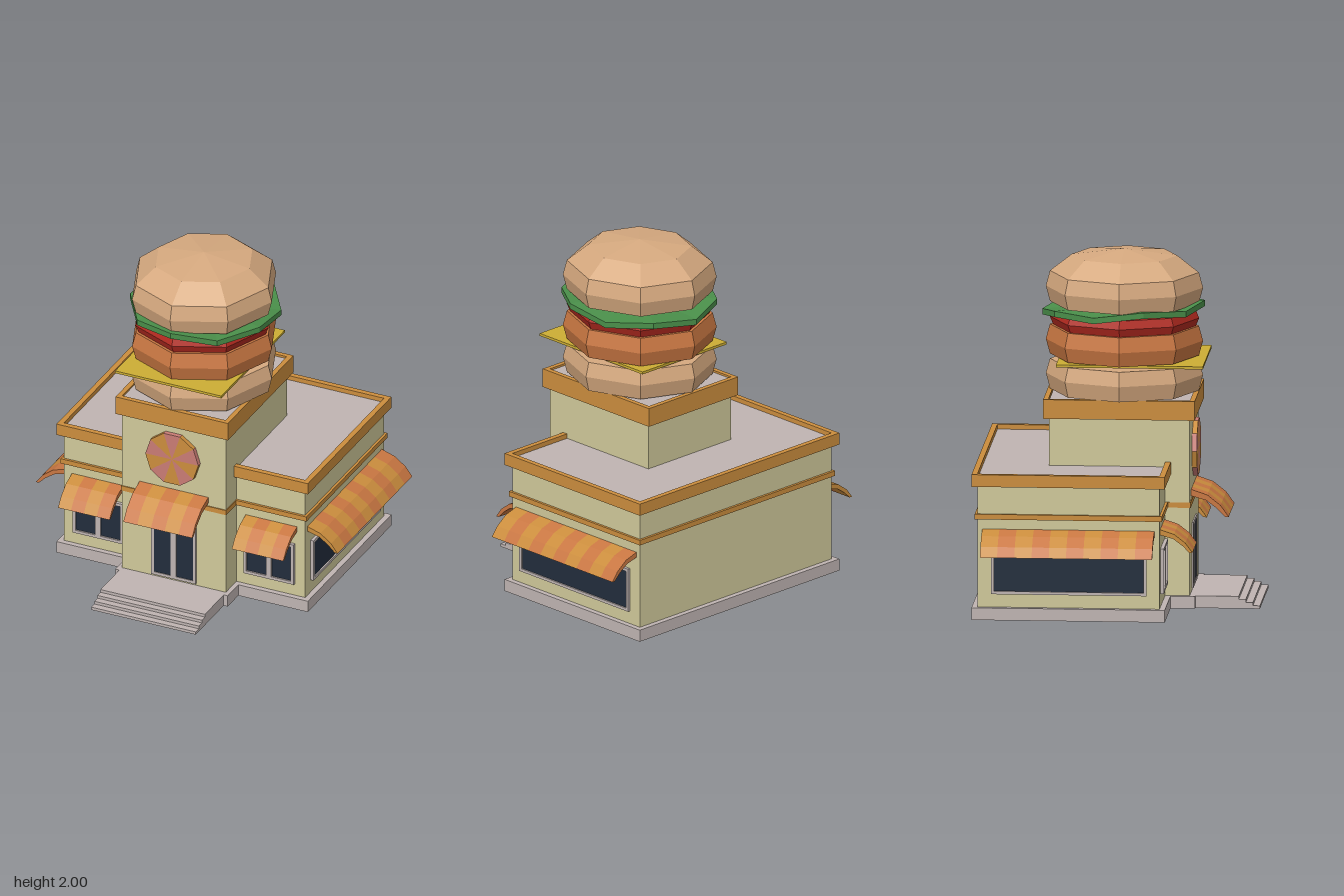
import * as THREE from 'three';

const paint = (name, color) => {
  const m = new THREE.MeshStandardMaterial({ color });
  m.name = name;
  return m;
};

export function createModel() {
  const model = new THREE.Group();
  model.name = 'burgerRestaurant';
  const cream = paint('cream wall', 0xd0c99a);
  const orange = paint('orange trim', 0xcb8d3d);
  const grey = paint('grey stone', 0xbfb4b2);
  const navy = paint('dark glass', 0x222d3c);
  const bunTan = paint('bun tan', 0xd6a97f);
  const burnt = paint('burnt orange', 0xc97742);
  const red = paint('tomato red', 0xb32a20);
  const green = paint('lettuce green', 0x4a8f4a);
  const yellow = paint('cheese yellow', 0xccad34);
  const pink = paint('pink', 0xc97c74);

  const add = (name, geo, mat, parent = model) => {
    const m = new THREE.Mesh(geo, mat);
    m.name = name;
    parent.add(m);
    return m;
  };
  // Box given by its limits on each axis
  const box = (name, mat, x0, x1, y0, y1, z0, z1, parent = model) => {
    const m = add(name, new THREE.BoxGeometry(x1 - x0, y1 - y0, z1 - z0), mat, parent);
    m.position.set((x0 + x1) / 2, (y0 + y1) / 2, (z0 + z1) / 2);
    return m;
  };
  const faceted = (geo) => {
    const g = geo.index ? geo.toNonIndexed() : geo;
    g.computeVertexNormals();
    return g;
  };
  const rectPath = (p, x, z0, z1) => {
    p.moveTo(-x, -z1); p.lineTo(x, -z1); p.lineTo(x, -z0); p.lineTo(-x, -z0); p.closePath();
    return p;
  };
  // Hollow rectangular band around a wall
  const rim = (name, x, z0, z1, t, y0, y1) => {
    const s = rectPath(new THREE.Shape(), x, z0, z1);
    s.holes.push(rectPath(new THREE.Path(), x - t, z0 + t, z1 - t));
    const g = new THREE.ExtrudeGeometry(s, { depth: y1 - y0, bevelEnabled: false });
    g.rotateX(-Math.PI / 2);
    add(name, g, orange).position.y = y0;
  };

  // Foundation and entrance steps
  box('mainBase', grey, -0.787, 0.787, 0, 0.07, -0.8, 0.295);
  box('towerBase', grey, -0.352, 0.352, 0, 0.07, 0.29, 0.434);
  for (let i = 0; i < 4; i++) {
    box('step', grey, -0.327, 0.327, i * 0.0175, (i + 1) * 0.0175, 0.43, 0.8 - i * 0.04);
  }

  // Main hall and tower
  box('hallWalls', cream, -0.755, 0.755, 0.07, 0.8, -0.768, 0.263);
  box('hallRoof', grey, -0.756, 0.756, 0.8, 0.808, -0.769, 0.264);
  rim('hallRoofRim', 0.787, -0.8, 0.295, 0.032, 0.765, 0.835);
  rim('hallBand', 0.77, -0.783, 0.278, 0.016, 0.575, 0.605);
  box('towerWalls', cream, -0.325, 0.325, 0.07, 1.17, -0.395, 0.402);
  box('towerRoof', grey, -0.326, 0.326, 1.17, 1.178, -0.396, 0.403);
  box('towerBand', orange, -0.33, 0.33, 0.575, 0.605, 0.2, 0.408);
  rim('towerRoofRim', 0.352, -0.427, 0.432, 0.029, 1.08, 1.19);

  // Window: frame of bars with glass panes; local +z points outward
  const windowUnit = (name, w, y0, y1, depth, panes, bar) => {
    const g = new THREE.Group();
    g.name = name;
    model.add(g);
    const h = w / 2, gap = (w - bar) / panes;
    box('glass', navy, -h + 0.005, h - 0.005, y0 + 0.005, y1 - 0.005, 0, depth * 0.5, g);
    box('sill', grey, -h, h, y0, y0 + bar, 0, depth, g);
    box('lintel', grey, -h, h, y1 - bar, y1, 0, depth, g);
    for (let i = 0; i <= panes; i++) {
      const mid = i > 0 && i < panes ? 0.008 : 0;
      const x = -h + i * gap;
      box('mullion', grey, x - mid, x + bar + mid, y0 + bar, y1 - bar, 0, depth, g);
    }
    return g;
  };
  windowUnit('frontDoor', 0.28, 0.08, 0.455, 0.008, 2, 0.018).position.z = 0.402;
  for (const s of [-1, 1]) {
    windowUnit('frontWindow', 0.315, 0.147, 0.405, 0.02, 2, 0.018).position.set(s * 0.535, 0, 0.263);
    const side = windowUnit('sideWindow', 0.88, 0.147, 0.405, 0.018, 1, 0.017);
    side.position.set(s * 0.755, 0, -0.25);
    side.rotation.y = s * Math.PI / 2;
  }

  // Curved striped awning; local +x points outward, stripes run along z
  const awning = (name, width, columns, reach, top, drop) => {
    const g = new THREE.Group();
    g.name = name;
    model.add(g);
    const outer = [[0, 0], [0.43, 0.2], [0.78, 0.58], [1, 1]];
    const inner = [[0.9, 1], [0.69, 0.7], [0.4, 0.4], [0, 0.24]];
    const shape = new THREE.Shape([...outer, ...inner].map(
      ([x, y]) => new THREE.Vector2(x * reach, top - y * drop)));
    const w = width / columns;
    for (let i = 0; i < columns; i++) {
      const geo = new THREE.ExtrudeGeometry(shape, { depth: w, bevelEnabled: false });
      add('stripe', geo, i % 2 ? orange : burnt, g).position.z = -width / 2 + i * w;
    }
    return g;
  };
  const door = awning('doorAwning', 0.43, 5, 0.213, 0.66, 0.155);
  door.position.z = 0.402;
  door.rotation.y = -Math.PI / 2;
  for (const s of [-1, 1]) {
    const front = awning('frontAwning', 0.322, 4, 0.183, 0.518, 0.13);
    front.position.set(s * 0.544, 0, 0.263);
    front.rotation.y = -Math.PI / 2;
    const side = awning('sideAwning', 0.975, 10, 0.19, 0.518, 0.13);
    side.position.set(s * 0.755, 0, -0.253);
    side.rotation.y = s > 0 ? 0 : Math.PI;
  }

  // Round sign of ten alternating wedges
  const sign = new THREE.Group();
  sign.name = 'roundSign';
  sign.position.set(0, 0.868, 0.4);
  model.add(sign);
  for (let i = 0; i < 10; i++) {
    const corner = (k) => new THREE.Vector2(0.166 * Math.cos(k * Math.PI / 5), 0.166 * Math.sin(k * Math.PI / 5));
    const wedge = new THREE.Shape([new THREE.Vector2(0, 0), corner(i), corner(i + 1)]);
    add('signWedge', new THREE.ExtrudeGeometry(wedge, { depth: 0.03, bevelEnabled: false }), i % 2 ? orange : pink, sign);
  }

  // Burger layers: eight-sided, slightly longer in z
  const layer = (name, mat, rings) => {
    const geo = new THREE.LatheGeometry(rings.map(([r, y]) => new THREE.Vector2(r, y)), 8);
    geo.scale(1, 1, 1.05);
    add(name, faceted(geo), mat).position.z = 0.008;
  };
  layer('bottomBun', bunTan, [[0, 1.19], [0.402, 1.19], [0.424, 1.28], [0.402, 1.362], [0, 1.362]]);
  box('cheese', yellow, -0.332, 0.332, 1.372, 1.387, -0.355, 0.477);
  layer('patty', burnt, [[0, 1.391], [0.402, 1.391], [0.424, 1.475], [0.402, 1.56], [0, 1.56]]);
  layer('tomato', red, [[0, 1.56], [0.385, 1.56], [0.403, 1.605], [0.385, 1.652], [0, 1.652]]);
  layer('topBun', bunTan, [[0, 1.692], [0.402, 1.692], [0.424, 1.78], [0.402, 1.867], [0.285, 1.963], [0, 2]]);

  // Wavy, tilted lettuce leaf
  const leaf = new THREE.CylinderGeometry(0.435, 0.435, 0.034, 10);
  const p = leaf.attributes.position;
  for (let i = 0; i < p.count; i++) {
    const x = p.getX(i), z = p.getZ(i);
    if (Math.hypot(x, z) < 0.1) continue;
    const k = Math.round(Math.atan2(x, z) / (Math.PI / 5));
    const wave = Math.abs(k) % 2 ? -0.011 : 0.011;
    p.setXYZ(i, x * 0.98, p.getY(i) + wave + 0.045 * z - 0.025 * x - 0.008, z * 1.06);
  }
  add('lettuce', faceted(leaf), green).position.set(0.008, 1.668, 0.003);

  return model;
}
